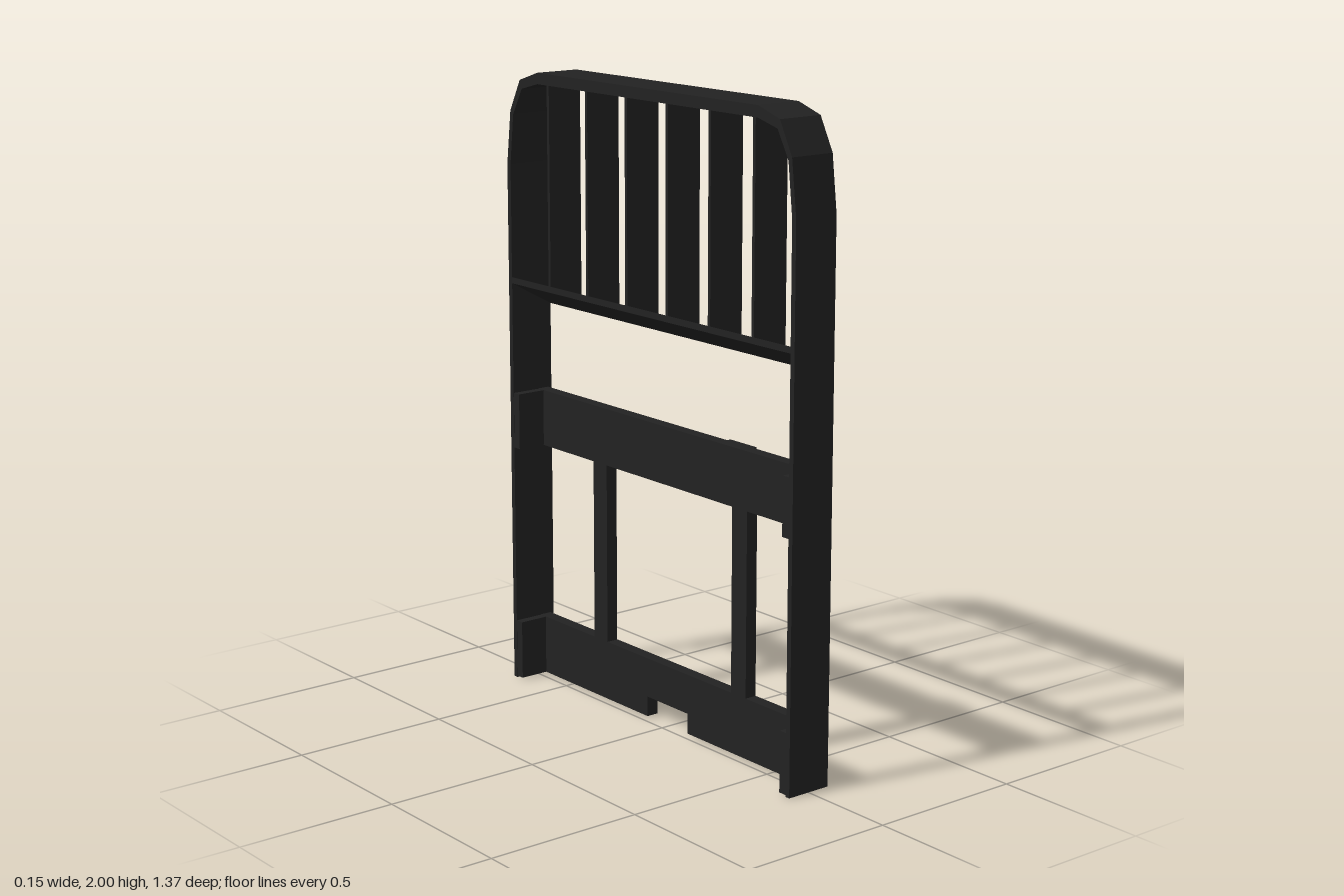
import * as THREE from 'three';

export function createModel() {
  const group = new THREE.Group();
  const black = new THREE.MeshStandardMaterial({ color: 0x222222 });
  black.name = 'matte black';

  function add(name, geometry) {
    const mesh = new THREE.Mesh(geometry, black);
    mesh.name = name;
    group.add(mesh);
    return mesh;
  }
  function box(name, x0, x1, y0, y1, z0, z1) {
    const mesh = add(name, new THREE.BoxGeometry(x1 - x0, y1 - y0, z1 - z0));
    mesh.position.set((x0 + x1) / 2, (y0 + y1) / 2, (z0 + z1) / 2);
  }
  const shapeOf = (points) => new THREE.Shape(points.map(([a, b]) => new THREE.Vector2(a, b)));

  // Outline given as (z, y), extruded from x0 to x1
  function sidePlate(name, points, x0, x1) {
    const g = new THREE.ExtrudeGeometry(shapeOf(points), { depth: x1 - x0, bevelEnabled: false });
    g.rotateY(-Math.PI / 2).translate(x1, 0, 0);
    add(name, g);
  }
  // Outline given as (x, y), extruded along z
  function crossPlate(name, points, z, width) {
    const g = new THREE.ExtrudeGeometry(shapeOf(points), { depth: width, bevelEnabled: false });
    g.translate(0, 0, z - width / 2);
    add(name, g);
  }
  const mirror = (half) => half.map(([z, y]) => [-z, y]).reverse();

  // Wide hoop with faceted upper corners
  const outer = [[0.685, 0], [0.685, 1.7], [0.665, 1.87], [0.613, 1.97], [0.52, 2]];
  const inner = [[0.668, 0], [0.668, 1.7], [0.65, 1.86], [0.603, 1.943], [0.52, 1.965]];
  sidePlate('outerFrame', [...outer, ...mirror(outer), ...mirror(mirror(mirror(inner))).reverse(), ...mirror(mirror(inner)).reverse()], -0.075, 0.075);

  // Sloping shelf and the upright slats above it
  crossPlate('slopedShelf', [[-0.075, 1.32], [0.075, 1.238], [0.075, 1.256], [-0.075, 1.34]], 0, 1.34);
  for (let i = 0; i < 6; i++) {
    crossPlate('slat', [[-0.06, 1.325], [0.06, 1.255], [0.06, 1.975], [-0.06, 1.975]], 0.488 - i * 0.195, 0.011);
  }

  // Middle beam, with a slim plate on its face
  box('middleBeam', 0.022, 0.062, 0.78, 0.963, -0.67, 0.67);
  box('beamPlate', 0.062, 0.078, 0.9, 0.962, 0.23, 0.35);

  // Base plate with a central notch
  sidePlate('basePlate', [[-0.67, 0.005], [-0.1, 0.005], [-0.1, 0.07], [0.1, 0.07], [0.1, 0.005],
    [0.67, 0.005], [0.67, 0.197], [-0.67, 0.197]], 0.022, 0.062);

  // Posts and end brackets on both sides
  for (const s of [-1, 1]) {
    const span = (a, b) => (s > 0 ? [a, b] : [-b, -a]);
    box('post', 0.022, 0.061, 0.19, 0.79, ...span(0.306, 0.374));
    box('beamBracket', -0.074, 0.062, 0.781, 0.962, ...span(0.64, 0.675));
    box('baseBracket', -0.074, 0.062, 0.005, 0.196, ...span(0.64, 0.675));
  }
  return group;
}
